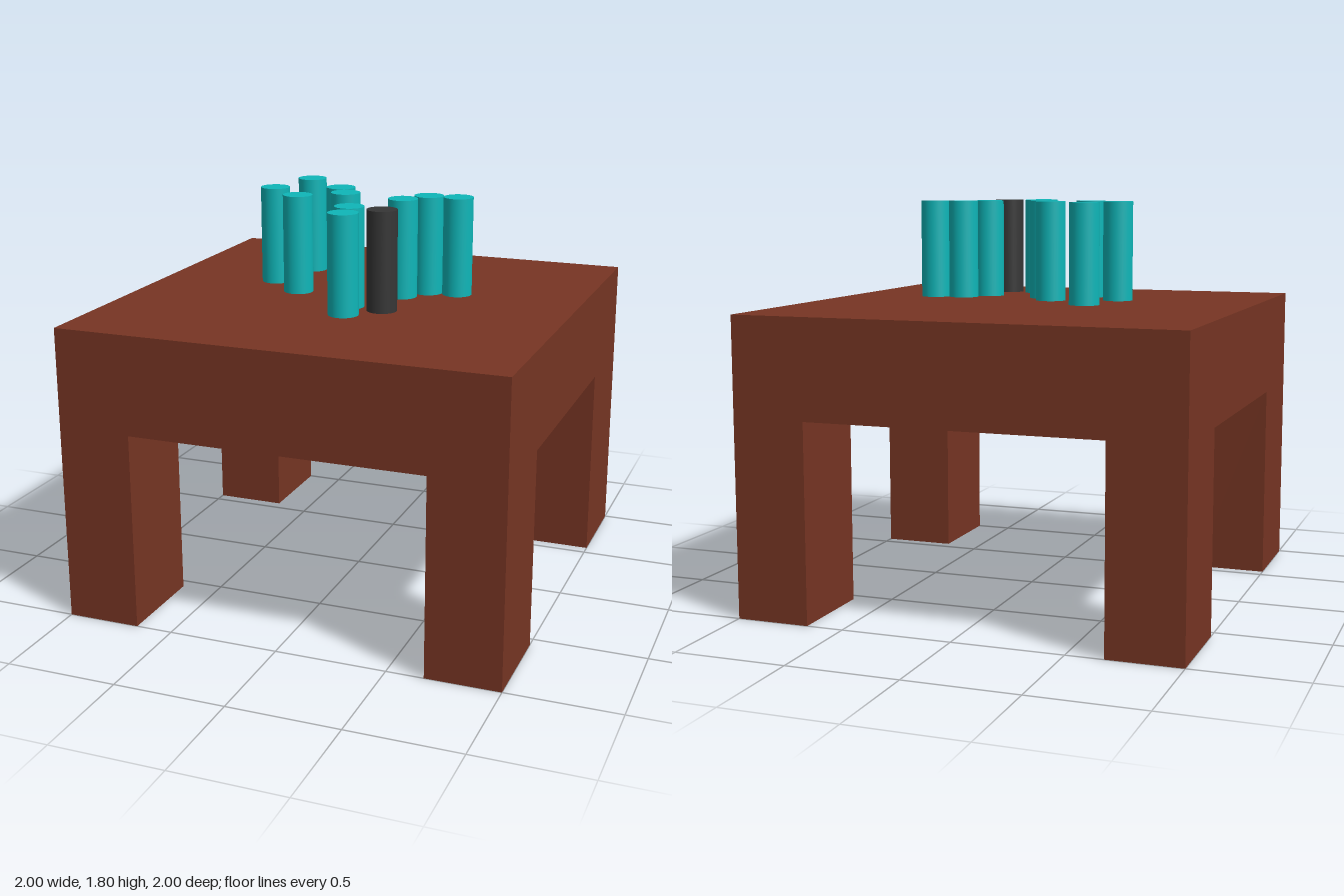
import * as THREE from 'three';

export function createModel() {
  const model = new THREE.Group();
  const wood = new THREE.MeshStandardMaterial({ color: 0x773523 });
  const teal = new THREE.MeshStandardMaterial({ color: 0x0fb6b8 });
  const dark = new THREE.MeshStandardMaterial({ color: 0x363636 });

  const add = (name, geometry, material, x, y, z) => {
    const mesh = new THREE.Mesh(geometry, material);
    mesh.name = name;
    mesh.position.set(x, y, z);
    model.add(mesh);
  };

  // Thick square top
  const legHeight = 0.889, topHeight = 0.444;
  add('tableTop', new THREE.BoxGeometry(2, topHeight, 2), wood, 0, legHeight + topHeight / 2, 0);

  // Four legs flush with the corners
  const legW = 0.333, legD = 0.444;
  const legGeometry = new THREE.BoxGeometry(legW, legHeight, legD);
  for (const [side, sx] of [['left', 1], ['right', -1]]) {
    for (const [end, sz] of [['Front', 1], ['Back', -1]]) {
      add(`${side}${end}Leg`, legGeometry, wood, sx * (1 - legW / 2), legHeight / 2, sz * (1 - legD / 2));
    }
  }

  // Upright pegs hovering just above the top
  const pegHeight = 0.444, pegY = 1.36 + pegHeight / 2;
  const pegGeometry = new THREE.CylinderGeometry(0.067, 0.067, pegHeight, 32);
  const spots = [
    [-0.358, -0.322], [-0.424, -0.032], [-0.138, -0.133], [-0.066, -0.008], [-0.247, 0.122],
    [0.313, -0.066], [0.447, -0.078], [0.228, 0.047], [0.071, 0.302], [0.1, 0.45],
  ];
  spots.forEach(([x, z], i) => add(`tealPeg${i + 1}`, pegGeometry, teal, x, pegY, z));
  add('darkPeg', pegGeometry, dark, 0.23, pegY, 0.322);

  return model;
}
